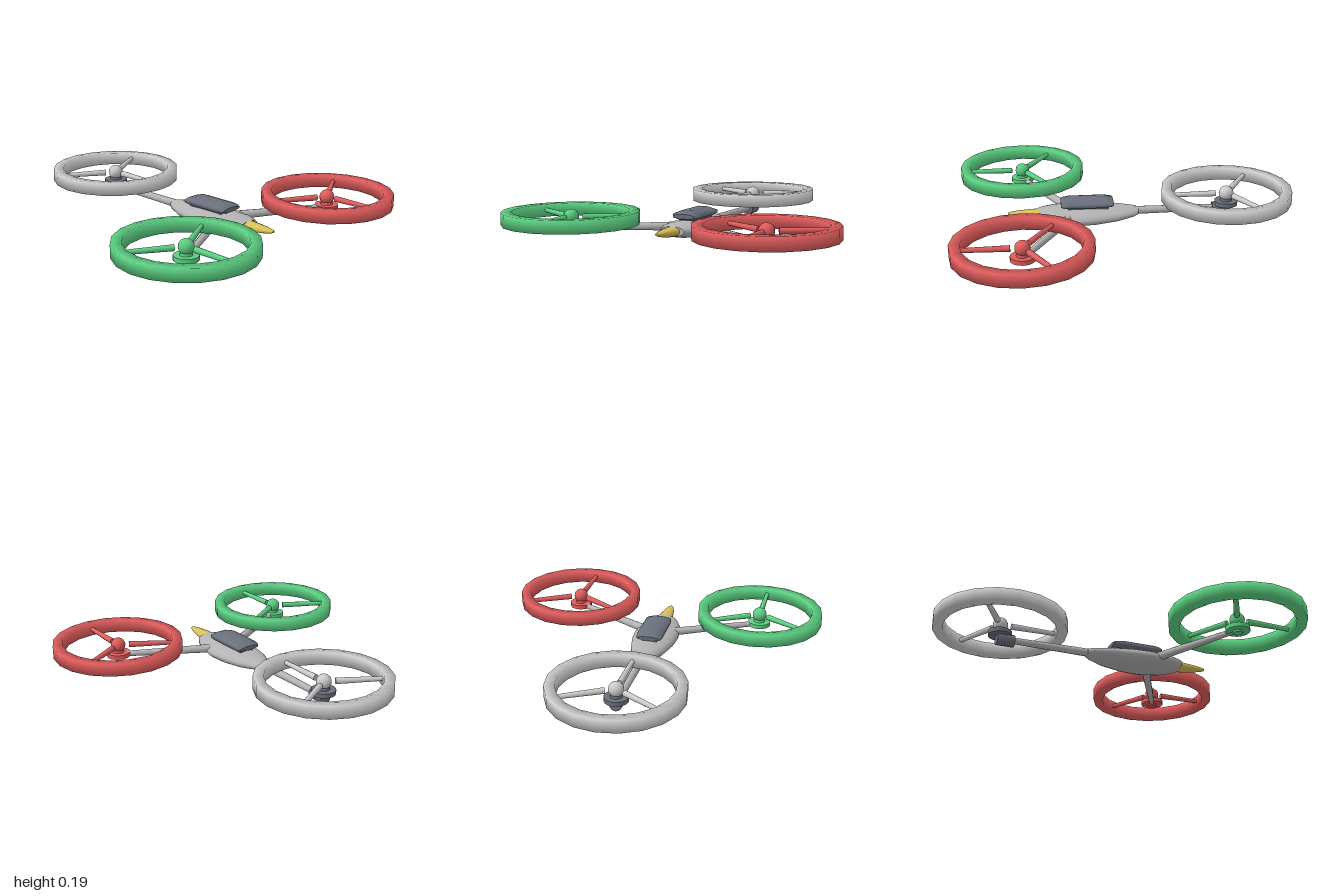
import * as THREE from 'three';

const mat = (color) => new THREE.MeshStandardMaterial({ color });
const GREY = mat(0xb4b4b4), PALE = mat(0xdedede), DARK = mat(0x6a707c);
const RED = mat(0xdf5c5c), GREEN = mat(0x5ccf82), YELLOW = mat(0xd8c058);

function part(parent, name, geometry, material, x = 0, y = 0, z = 0) {
  const mesh = new THREE.Mesh(geometry, material);
  mesh.name = name;
  mesh.position.set(x, y, z);
  parent.add(mesh);
  return mesh;
}

// Closed hull from elliptical sections along z: [z, halfWidth, halfHeight, centreY]
function loft(sections, sides) {
  const pos = [], idx = [];
  const ring = ([z, w, h, y]) => {
    const start = pos.length / 3;
    for (let i = 0; i < sides; i++) {
      const a = ((i + 0.5) / sides) * Math.PI * 2;
      const k = 1 / Math.cos(Math.PI / sides);
      pos.push(Math.cos(a) * w * k, y + Math.sin(a) * h * k, z);
    }
    return start;
  };
  const starts = sections.map(ring);
  for (let s = 0; s < starts.length - 1; s++) {
    for (let i = 0; i < sides; i++) {
      const j = (i + 1) % sides, a = starts[s], b = starts[s + 1];
      idx.push(a + i, a + j, b + j, a + i, b + j, b + i);
    }
  }
  // Flat end caps with their own vertices
  const back = ring(sections[0]), front = ring(sections[sections.length - 1]);
  for (let i = 1; i < sides - 1; i++) {
    idx.push(back, back + i + 1, back + i, front, front + i, front + i + 1);
  }
  const geo = new THREE.BufferGeometry();
  geo.setAttribute('position', new THREE.Float32BufferAttribute(pos, 3));
  geo.setIndex(idx);
  geo.computeVertexNormals();
  return geo;
}

// Tapered round bar between two points
function bar(parent, name, from, to, r0, r1, material) {
  const a = new THREE.Vector3(...from), b = new THREE.Vector3(...to);
  const dir = b.clone().sub(a);
  const mid = a.clone().add(b).multiplyScalar(0.5);
  const mesh = part(parent, name, new THREE.CylinderGeometry(r1, r0, dir.length(), 10), material, mid.x, mid.y, mid.z);
  mesh.quaternion.setFromUnitVectors(new THREE.Vector3(0, 1, 0), dir.normalize());
  return mesh;
}

// Rotor guard with three spokes, hub and motor plate; origin at the underside of the ring
function rotor(name, ringMat, plateMat) {
  const g = new THREE.Group();
  g.name = name;
  // Square-section ring: a four-sided torus turned onto its flats
  const s = Math.SQRT1_2, pts = [[0.39, 0], [0.39, 0.075], [0.33, 0.075], [0.33, 0], [0.39, 0]]
    .map(([x, y]) => new THREE.Vector2(x, y));
  const ringGeo = new THREE.LatheGeometry(pts, 20);
  const p = ringGeo.attributes.position, n = ringGeo.attributes.normal;
  for (let i = 0; i < p.count; i++) {
    const r = Math.hypot(p.getX(i), p.getZ(i));
    const side = r > 0.36 ? s : -s;
    n.setXYZ(i, (p.getX(i) / r) * side, p.getY(i) > 0.04 ? s : -s, (p.getZ(i) / r) * side);
  }
  part(g, 'guardRing', ringGeo, ringMat);
  for (let i = 0; i < 3; i++) {
    const a = (i * Math.PI * 2) / 3, x = Math.sin(a), z = Math.cos(a);
    bar(g, 'spoke', [x * 0.065, 0.04, z * 0.065], [x * 0.34, 0.04, z * 0.34], 0.018, 0.013, ringMat);
  }
  part(g, 'motorPlate', new THREE.CylinderGeometry(0.07, 0.07, 0.026, 16), plateMat, 0, -0.018, 0);
  part(g, 'hubColumn', new THREE.CylinderGeometry(0.03, 0.036, 0.05, 12), plateMat, 0, 0.015, 0);
  part(g, 'hubCap', new THREE.SphereGeometry(0.044, 14, 10), ringMat, 0, 0.04, 0);
  return g;
}

export function createModel() {
  const model = new THREE.Group();
  model.name = 'tricopter';

  // Fuselage
  part(model, 'fuselage', loft([
    [-0.08, 0.035, 0.02, 0.06], [-0.05, 0.058, 0.029, 0.058], [0.05, 0.1, 0.042, 0.054],
    [0.18, 0.128, 0.05, 0.051], [0.29, 0.137, 0.05, 0.051], [0.42, 0.118, 0.042, 0.056],
    [0.48, 0.09, 0.033, 0.06], [0.51, 0.072, 0.027, 0.062],
  ], 16), GREY);

  // Canopy
  part(model, 'canopy', loft([
    [0.07, 0.066, 0.013, 0.126], [0.085, 0.074, 0.018, 0.126], [0.125, 0.077, 0.029, 0.127],
    [0.33, 0.077, 0.029, 0.127], [0.365, 0.074, 0.02, 0.126], [0.38, 0.066, 0.013, 0.126],
  ], 8), DARK);
  part(model, 'canopyBase', new THREE.BoxGeometry(0.09, 0.03, 0.24), DARK, 0, 0.1, 0.22);

  // Nose
  part(model, 'noseCone', loft([
    [0.49, 0.047, 0.028, 0.062], [0.56, 0.041, 0.025, 0.063], [0.63, 0.03, 0.018, 0.066],
    [0.675, 0.016, 0.011, 0.069], [0.69, 0.008, 0.006, 0.07],
  ], 12), YELLOW);

  // Front arms and rotors
  for (const [side, name, material] of [[1, 'leftRotor', RED], [-1, 'rightRotor', GREEN]]) {
    bar(model, 'frontArm', [side * 0.08, 0.062, 0.33], [side * 0.595, 0.059, 0.605], 0.026, 0.016, GREY);
    const r = rotor(name, material, material);
    r.position.set(side * 0.595, 0.08, 0.605);
    part(r, 'motorStub', new THREE.CylinderGeometry(0.03, 0.026, 0.02, 12), material, 0, -0.033, 0);
    model.add(r);
  }

  // Rear arm, tilt motor and rotor
  bar(model, 'rearArm', [0, 0.062, 0], [0, 0.062, -0.55], 0.025, 0.019, GREY);
  const motor = part(model, 'tiltMotor', new THREE.CylinderGeometry(0.036, 0.036, 0.105, 12), DARK, 0, 0.058, -0.578);
  motor.rotation.x = Math.PI / 2;
  const rear = rotor('rearRotor', PALE, DARK);
  rear.position.set(0, 0.11, -0.61);
  model.add(rear);

  return model;
}
